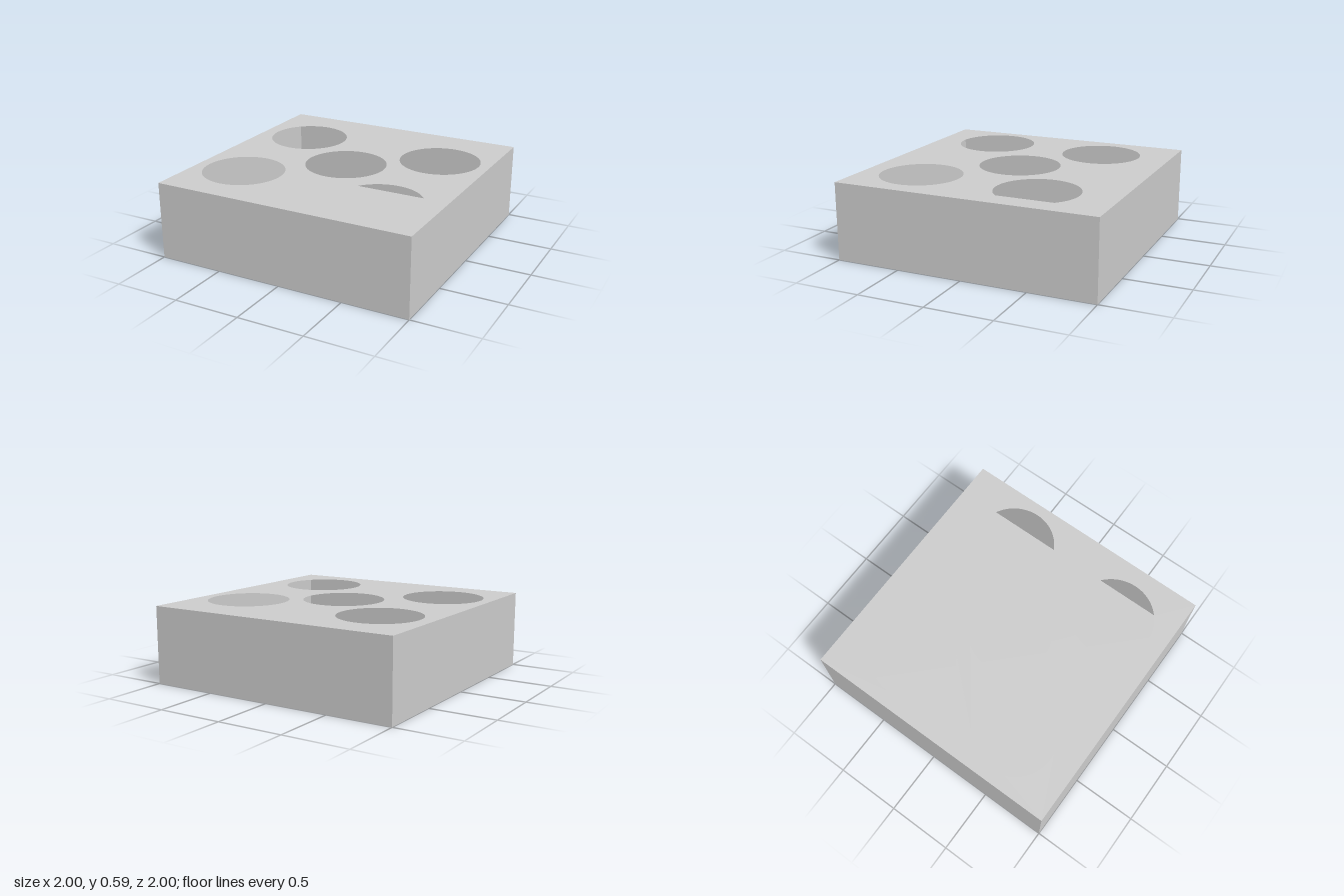
import * as THREE from 'three';

const SIZE = 2, HEIGHT = 0.59, HOLE_RADIUS = 0.311;
// Hole centres as [x, z]
const HOLES = [[-0.585, -0.449], [0.606, -0.406], [0, 0], [-0.607, 0.487], [0.552, 0.549]];

export function createModel() {
  const group = new THREE.Group();
  group.name = 'hollowBox';
  const material = new THREE.MeshStandardMaterial({ color: 0xcccccc, side: THREE.DoubleSide });
  const add = (name, geometry) => {
    const mesh = new THREE.Mesh(geometry, material);
    mesh.name = name;
    group.add(mesh);
    return mesh;
  };

  // Thin lid with five round openings
  const half = SIZE / 2;
  const outline = new THREE.Shape([
    new THREE.Vector2(-half, -half), new THREE.Vector2(half, -half),
    new THREE.Vector2(half, half), new THREE.Vector2(-half, half),
  ]);
  for (const [x, z] of HOLES) {
    outline.holes.push(new THREE.Path().absarc(x, -z, HOLE_RADIUS, 0, Math.PI * 2, true));
  }
  add('lid', new THREE.ShapeGeometry(outline, 48).rotateX(-Math.PI / 2).translate(0, HEIGHT, 0));

  // Closed floor, facing down
  add('floor', new THREE.PlaneGeometry(SIZE, SIZE).rotateX(Math.PI / 2));

  // Four thin walls, each turned a quarter further around the box
  ['frontWall', 'leftWall', 'backWall', 'rightWall'].forEach((name, i) => {
    add(name, new THREE.PlaneGeometry(SIZE, HEIGHT)
      .translate(0, HEIGHT / 2, half)
      .rotateY(i * Math.PI / 2));
  });

  return group;
}
